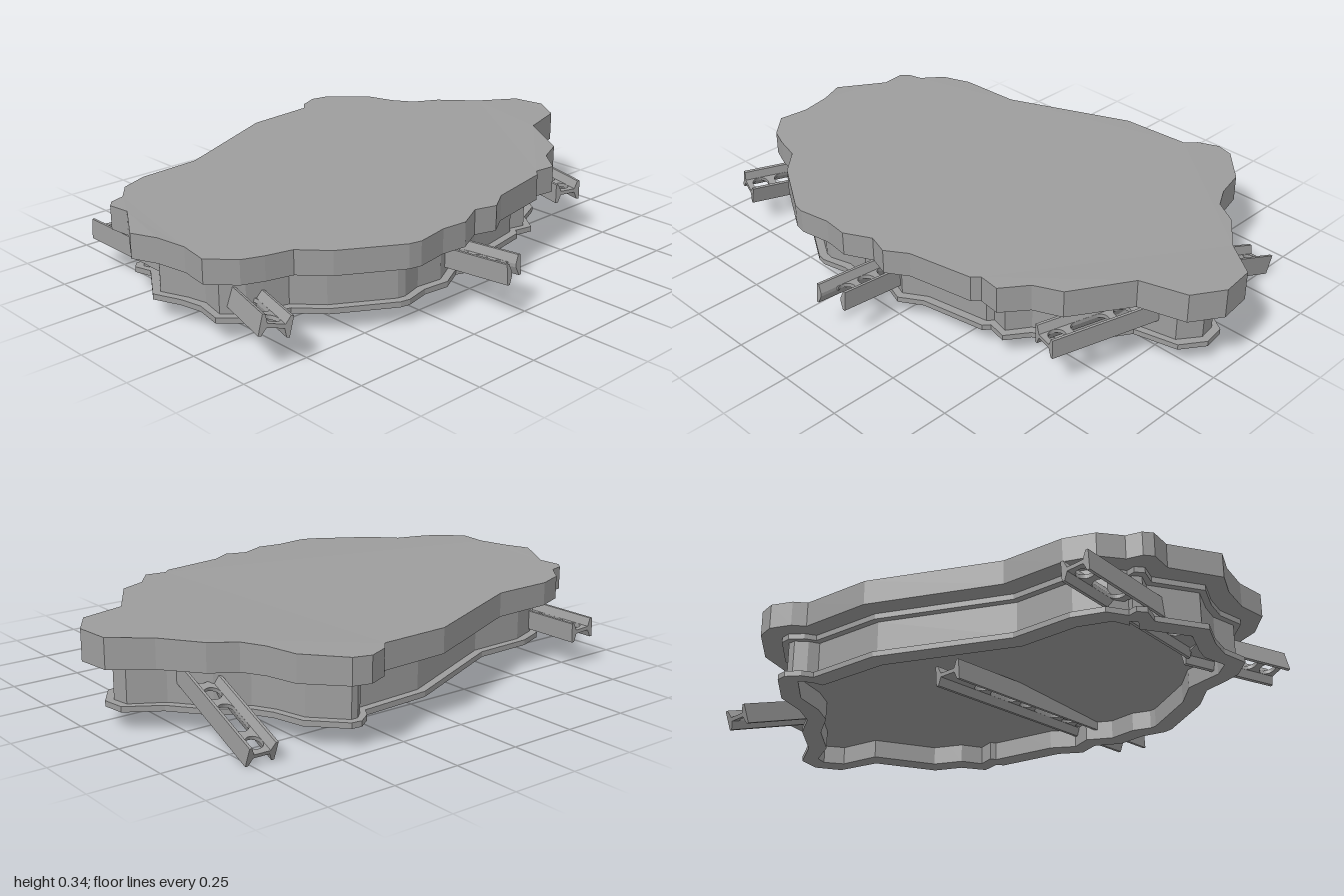
import * as THREE from 'three';

const material = new THREE.MeshStandardMaterial({ color: 0x9d9d9d, flatShading: true });

// Ragged plan outline as [x, z], starting at the back and running round by +x
const OUTLINE = [
  [-0.03, -1], [0.08, -0.93], [0.13, -0.76], [0.34, -0.63], [0.385, -0.53], [0.475, -0.46],
  [0.465, -0.38], [0.49, -0.355], [0.535, -0.11], [0.585, -0.03], [0.56, 0.05], [0.61, 0.15],
  [0.6, 0.245], [0.62, 0.365], [0.61, 0.41], [0.485, 0.62], [0.395, 0.705], [0.37, 0.8],
  [0.34, 0.875], [0.255, 0.955], [0.145, 0.94], [0.03, 0.96], [-0.065, 1], [-0.235, 0.895],
  [-0.32, 0.905], [-0.35, 0.88], [-0.365, 0.825], [-0.44, 0.765], [-0.48, 0.66], [-0.49, 0.425],
  [-0.685, -0.025], [-0.7, -0.29], [-0.74, -0.325], [-0.772, -0.4], [-0.755, -0.465],
  [-0.63, -0.585], [-0.515, -0.615], [-0.435, -0.66], [-0.38, -0.75], [-0.25, -0.855], [-0.155, -0.985],
];
const INNER = 0.14; // inset of the open underside
const CEILING = 0.14; // height of the panel closing it

function mesh(name, geometry, parent) {
  const m = new THREE.Mesh(geometry, material);
  m.name = name;
  parent.add(m);
  return m;
}

// Outline moved inwards along its smoothed normals
function insetOutline(inset) {
  const n = OUTLINE.length;
  return OUTLINE.map(([x, z], i) => {
    const a = OUTLINE[(i + n - 2) % n], b = OUTLINE[(i + 2) % n];
    const t = new THREE.Vector2(b[0] - a[0], b[1] - a[1]).normalize();
    return [x - t.y * inset, z + t.x * inset];
  });
}

// Thick slab whose top rises gently towards the back and the middle
function slabGeometry() {
  const shape = new THREE.Shape(OUTLINE.map(([x, z]) => new THREE.Vector2(x, -z)));
  const geo = new THREE.ExtrudeGeometry(shape, { depth: 1, bevelEnabled: false });
  geo.rotateX(-Math.PI / 2);
  const p = geo.attributes.position;
  for (let i = 0; i < p.count; i++) {
    const top = 0.335 - 0.01 * p.getZ(i) - 0.015 * Math.abs(p.getX(i));
    p.setY(i, p.getY(i) > 0.5 ? top : 0.235);
  }
  geo.computeVertexNormals();
  return geo;
}

// Flanged rim swept around the inset outline; profile is [inset, y]
function rimGeometry() {
  const profile = [
    [0.07, 0.07], [0.07, 0.09], [0.1, 0.09], [0.1, 0.215], [0.075, 0.215], [0.075, 0.236],
    [INNER, 0.236], [INNER, 0.07],
  ];
  const n = OUTLINE.length, k = profile.length;
  const rings = profile.map(([inset]) => insetOutline(inset));
  const positions = [], index = [];
  for (let i = 0; i < n; i++) {
    for (let j = 0; j < k; j++) {
      const [x, z] = rings[j][i];
      positions.push(x, profile[j][1], z);
      const i2 = (i + 1) % n, j2 = (j + 1) % k;
      const p = i * k + j, q = i2 * k + j, r = i2 * k + j2, s = i * k + j2;
      index.push(p, s, r, p, r, q);
    }
  }
  const geo = new THREE.BufferGeometry();
  geo.setAttribute('position', new THREE.Float32BufferAttribute(positions, 3));
  geo.setIndex(index);
  geo.computeVertexNormals();
  return geo;
}

// Panel facing down inside the rim
function ceilingGeometry() {
  const shape = new THREE.Shape(insetOutline(INNER).map(([x, z]) => new THREE.Vector2(x, z)));
  return new THREE.ShapeGeometry(shape).rotateX(Math.PI / 2).translate(0, CEILING, 0);
}

// Round hole (slot = 0) or a long slot, centred on x
function holePath(x, slot, r) {
  const path = new THREE.Path();
  path.absarc(x + slot / 2, 0, r, -Math.PI / 2, Math.PI / 2, false);
  path.absarc(x - slot / 2, 0, r, Math.PI / 2, Math.PI * 1.5, false);
  path.closePath();
  return path;
}

// Girder running along +x from its outer end: pierced web between two side flanges
function girder({ name, at, yaw, pitch = 0, roll = 0, length, broken = false }) {
  const group = new THREE.Group();
  group.name = name;
  const w = 0.045, r = 0.03;

  const web = new THREE.Shape();
  web.moveTo(0, -w);
  web.lineTo(length, -w);
  web.lineTo(length, w);
  web.lineTo(0, w);
  if (broken) {
    // The end hole is torn open
    const a = Math.acos(-2 / 3);
    web.lineTo(0, r * Math.sin(a));
    web.absarc(0.02, 0, r, a, -a, true);
  }
  web.closePath();
  for (let x = broken ? 0.105 : 0.05, round = true; x < length - 0.11; round = !round) {
    web.holes.push(round ? holePath(x, 0, r) : holePath(x + 0.04, 0.08, r));
    x += round ? 0.087 : 0.167;
  }
  const webGeo = new THREE.ExtrudeGeometry(web, { depth: 0.014, bevelEnabled: false, curveSegments: 8 });
  webGeo.rotateX(-Math.PI / 2).translate(0, -0.007, 0);
  mesh('girderWeb', webGeo, group);

  // Flange section thickens towards the web
  const section = new THREE.Shape([
    [0.053, -0.036], [0.053, 0.036], [0.043, 0.036], [0.03, 0.006], [0.03, -0.006], [0.043, -0.036],
  ].map(([a, b]) => new THREE.Vector2(a, b)));
  const overhang = broken ? [0.07, 0.035] : [0, 0];
  overhang.forEach((extra, side) => {
    const geo = new THREE.ExtrudeGeometry(section, { depth: length + extra, bevelEnabled: false });
    geo.rotateY(Math.PI / 2);
    if (side) geo.rotateX(Math.PI);
    geo.translate(-extra, 0, 0);
    mesh('girderFlange', geo, group);
  });
  group.position.set(...at);
  group.rotation.set(roll, yaw, pitch, 'YZX');
  return group;
}

export function createModel() {
  const model = new THREE.Group();
  model.name = 'platform';
  mesh('topSlab', slabGeometry(), model);
  mesh('rimBeam', rimGeometry(), model);
  mesh('ceilingPanel', ceilingGeometry(), model);

  // Girders poking out through the rim
  const girders = [
    { name: 'backRightGirder', at: [-0.63, 0.035, -0.717], yaw: -0.03, pitch: 0.37, length: 0.58 },
    { name: 'backLeftGirder', at: [0.422, 0.178, -0.622], yaw: Math.PI - 0.27, length: 0.5 },
    { name: 'crossGirder', at: [0.695, 0.166, 0.06], yaw: Math.PI, pitch: -0.086, length: 1.055, broken: true },
    { name: 'frontLeftGirder', at: [0.498, 0.15, 0.867], yaw: Math.PI - 0.3, pitch: -0.05, roll: 0.25, length: 0.4 },
    { name: 'frontRightGirder', at: [-0.57, 0.14, 0.775], yaw: 0, roll: -0.06, length: 0.7 },
  ];
  for (const g of girders) model.add(girder(g));
  return model;
}
